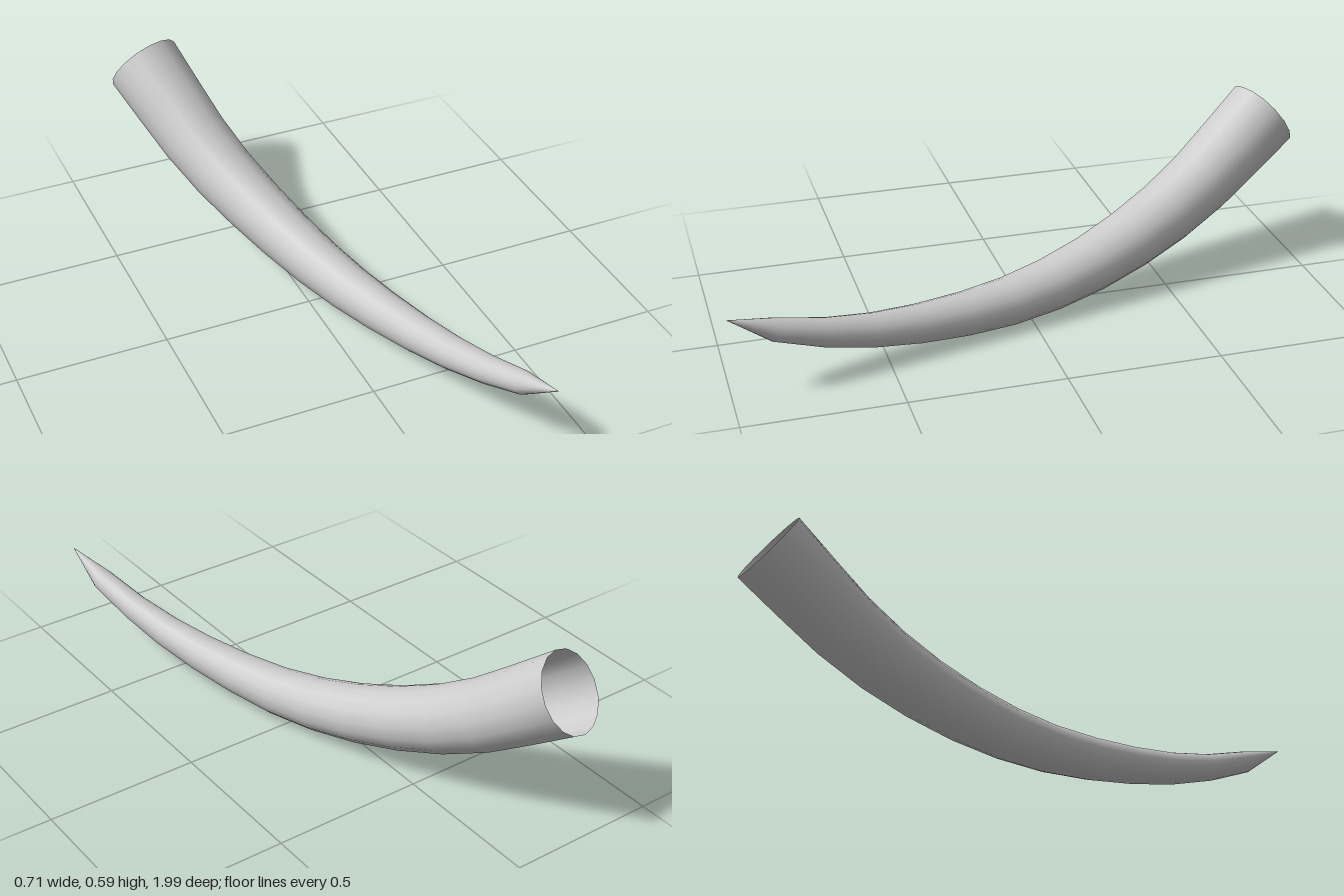
import * as THREE from 'three';

const SEGMENTS = 13;
const SIDES = 16;

// Centre line, from the open wide end at the back to the tip at the front
const centreLine = new THREE.CatmullRomCurve3([
  [-0.23, 0.487, -0.915],
  [-0.12, 0.268, -0.6],
  [-0.012, 0.148, -0.3],
  [0.085, 0.09, 0],
  [0.172, 0.09, 0.3],
  [0.253, 0.132, 0.6],
  [0.312, 0.205, 0.84],
  [0.345, 0.28, 1],
].map((p) => new THREE.Vector3(...p)));

// Gentle taper, closing to a point in the last segment
const radiusAt = (u) => (u >= 1 ? 0 : 0.13 - 0.085 * u - 0.017 * u * u);

// Sweeps a tapering circle along the curve, open at the wide end
function taperedSweep(curve) {
  const frames = curve.computeFrenetFrames(SEGMENTS);
  const positions = [];
  const index = [];
  for (let i = 0; i <= SEGMENTS; i++) {
    const u = i / SEGMENTS;
    const centre = curve.getPointAt(u);
    const r = radiusAt(u);
    for (let j = 0; j < SIDES; j++) {
      const a = (j / SIDES) * Math.PI * 2;
      const p = centre.clone()
        .addScaledVector(frames.normals[i], r * Math.cos(a))
        .addScaledVector(frames.binormals[i], r * Math.sin(a));
      positions.push(p.x, p.y, p.z);
      if (i === SEGMENTS) continue;
      const k = (j + 1) % SIDES;
      const a0 = i * SIDES + j, b0 = i * SIDES + k;
      const a1 = a0 + SIDES, b1 = b0 + SIDES;
      index.push(a0, b0, a1);
      if (i < SEGMENTS - 1) index.push(b0, b1, a1);
    }
  }
  const geometry = new THREE.BufferGeometry();
  geometry.setAttribute('position', new THREE.Float32BufferAttribute(positions, 3));
  geometry.setIndex(index);
  geometry.computeVertexNormals();
  return geometry;
}

export function createModel() {
  const group = new THREE.Group();
  group.name = 'horn';
  const material = new THREE.MeshStandardMaterial({ color: 0xcccccc, side: THREE.DoubleSide });
  const shell = new THREE.Mesh(taperedSweep(centreLine), material);
  shell.name = 'hornShell';
  group.add(shell);
  return group;
}
